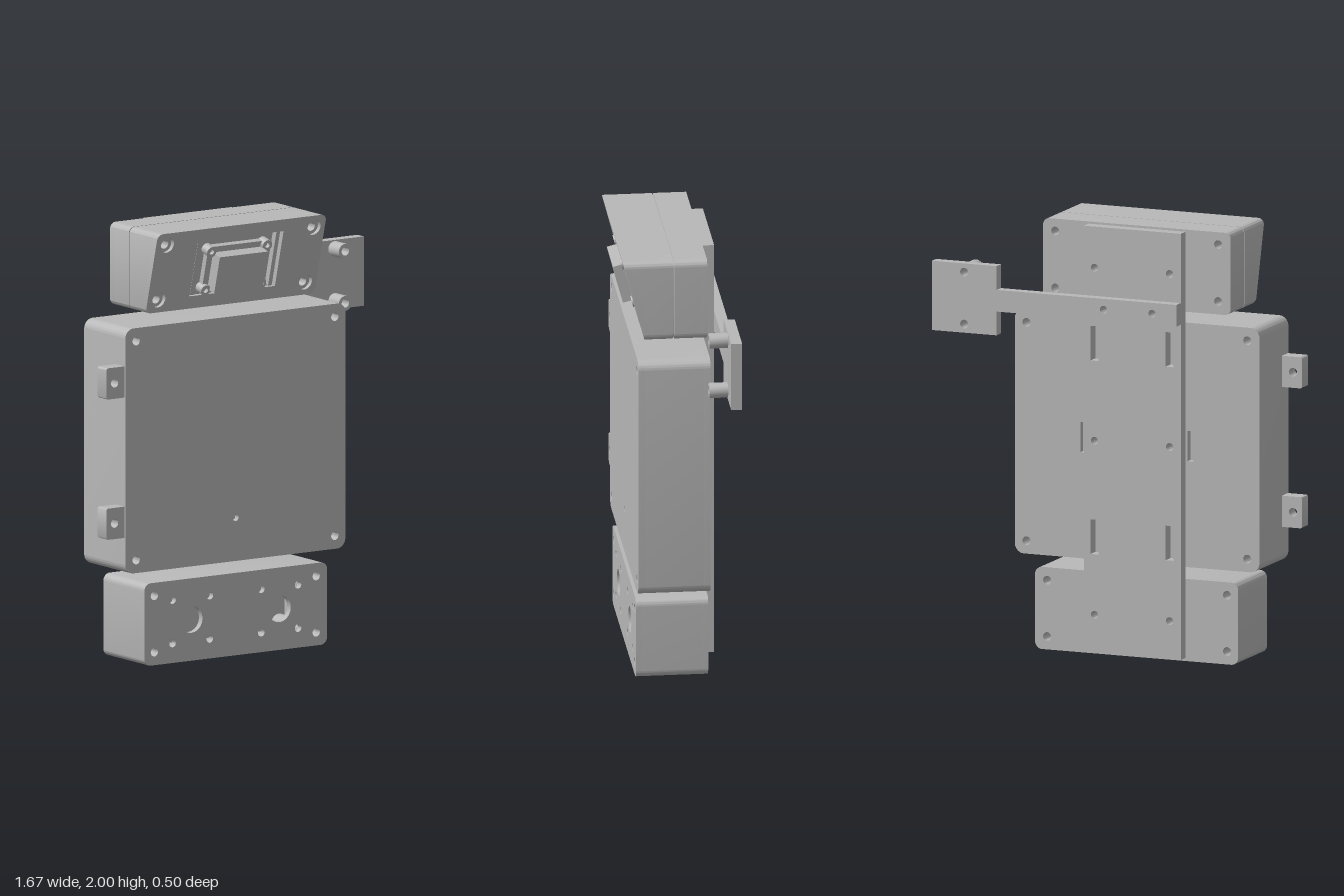
import * as THREE from 'three';
import { toCreasedNormals } from 'three/addons/utils/BufferGeometryUtils.js';

const grey = new THREE.MeshStandardMaterial({ color: 0xb8b8b8 });
grey.name = 'grey plastic';

// Rounded rectangle outline; used for solids and for cut-outs
function rect(x0, x1, y0, y1, r = 0, Type = THREE.Shape) {
  const s = new Type();
  if (r === 0) {
    s.moveTo(x0, y0); s.lineTo(x1, y0); s.lineTo(x1, y1); s.lineTo(x0, y1); s.closePath();
    return s;
  }
  s.moveTo(x0 + r, y0);
  s.lineTo(x1 - r, y0); s.absarc(x1 - r, y0 + r, r, -Math.PI / 2, 0);
  s.lineTo(x1, y1 - r); s.absarc(x1 - r, y1 - r, r, 0, Math.PI / 2);
  s.lineTo(x0 + r, y1); s.absarc(x0 + r, y1 - r, r, Math.PI / 2, Math.PI);
  s.lineTo(x0, y0 + r); s.absarc(x0 + r, y0 + r, r, Math.PI, Math.PI * 1.5);
  return s;
}
const slot = (x0, x1, y0, y1) => rect(x0, x1, y0, y1, 0, THREE.Path);
const round = (x, y, r, Type = THREE.Path) => new Type().absarc(x, y, r, 0, Math.PI * 2);
const grid = (xs, ys) => xs.flatMap((x) => ys.map((y) => [x, y]));

// Slab between two depths; each depth is a number or a function of y
function slab(parent, name, shape, holes, z0, z1) {
  shape.holes.push(...holes);
  const g = new THREE.ExtrudeGeometry(shape, { depth: 1, bevelEnabled: false, curveSegments: 10 });
  const p = g.attributes.position;
  const at = (z, y) => (typeof z === 'function' ? z(y) : z);
  for (let i = 0; i < p.count; i++) {
    const y = p.getY(i);
    p.setZ(i, THREE.MathUtils.lerp(at(z0, y), at(z1, y), p.getZ(i)));
  }
  const mesh = new THREE.Mesh(toCreasedNormals(g, 0.6), grey);
  mesh.name = name;
  parent.add(mesh);
  return mesh;
}

// Hollow wall running round a box outline
function wall(parent, name, [x0, x1, y0, y1, r], z0, z1, inset = 0, t = 0.03) {
  const i = inset, k = inset + t;
  slab(parent, name, rect(x0 + i, x1 - i, y0 + i, y1 - i, r),
    [rect(x0 + k, x1 - k, y0 + k, y1 - k, r * 0.5, THREE.Path)], z0, z1);
}

// Screw posts bored through
function posts(parent, name, points, outer, inner, z0, z1) {
  for (const [x, y] of points) slab(parent, name, round(x, y, outer, THREE.Shape), [round(x, y, inner)], z0, z1);
}

function part(parent, name) {
  const g = new THREE.Group();
  g.name = name;
  parent.add(g);
  return g;
}

export function createModel() {
  const model = new THREE.Group();
  model.name = 'mountedEnclosures';
  const BACK = -0.145, FRONT = 0.185, LID = 0.157;
  const spineScrews = grid([0.052, -0.32], [1.8, 1.0, 0.195]);
  const armScrews = [[-0.255, 1.62], [-0.015, 1.62]];
  const circles = (pts, r) => pts.map(([x, y]) => round(x, y, r));
  const screwsBetween = (y0, y1) => circles(spineScrews.filter(([, y]) => y > y0 && y < y1), 0.018);

  // Back spine with screw holes and strap slots
  const strapSlots = grid([0.052, -0.32], [0.555, 1.45]).map(([x, y]) => slot(x - 0.02, x + 0.02, y - 0.08, y + 0.08));
  slab(model, 'spine', rect(-0.375, 0.105, 0.02, 1.99),
    [...circles([...spineScrews, ...armScrews], 0.018), ...strapSlots], -0.2, BACK);

  // Side arm with end plate and two bored bosses
  const arm = part(model, 'sideArm');
  const bosses = [[0.675, 1.5], [0.675, 1.74]];
  slab(arm, 'armBar', rect(-0.375, 0.515, 1.57, 1.67), circles(armScrews, 0.018), -0.25, -0.2);
  slab(arm, 'armPlate', rect(0.515, 0.835, 1.46, 1.78), circles(bosses, 0.02), -0.25, -0.2);
  posts(arm, 'armBoss', bosses, 0.035, 0.02, -0.2, -0.115);

  // Large middle box
  const main = part(model, 'mainBox');
  const mainSize = [-0.74, 0.47, 0.44, 1.57, 0.045];
  const mainScrews = grid([-0.68, 0.412], [0.5, 1.51]);
  slab(main, 'mainBack', rect(...mainSize),
    [...circles(mainScrews, 0.02), ...screwsBetween(0.5, 1.5), slot(0.115, 0.145, 0.93, 1.07), slot(-0.415, -0.385, 0.93, 1.07)],
    BACK, BACK + 0.03);
  wall(main, 'mainWall', mainSize, BACK + 0.03, LID);
  slab(main, 'mainLid', rect(...mainSize), [...circles(mainScrews, 0.02), round(-0.133, 0.64, 0.016)], LID, FRONT);
  posts(main, 'mainPost', mainScrews, 0.045, 0.02, BACK + 0.03, LID);

  // Mounting tabs on the side of the middle box
  for (const y of [0.68, 1.327]) {
    slab(main, 'sideTab', rect(-0.84, -0.73, y - 0.072, y + 0.072, 0.01), [round(-0.795, y, 0.02)], 0.11, 0.18);
  }

  // Lower box with two large openings, each ringed by four small holes
  const low = part(model, 'lowerBox');
  const lowSize = [-0.635, 0.37, 0.005, 0.385, 0.035];
  const lowScrews = grid([-0.58, 0.31], [0.065, 0.325]);
  slab(low, 'lowerBack', rect(...lowSize), [...circles(lowScrews, 0.02), ...screwsBetween(0, 0.4)], BACK, BACK + 0.03);
  wall(low, 'lowerWall', lowSize, BACK + 0.03, LID);
  slab(low, 'lowerLid', rect(...lowSize), [
    ...circles(lowScrews, 0.02),
    ...circles(grid([-0.48, -0.275, 0.008, 0.21], [0.095, 0.295]), 0.018),
    ...circles([[-0.377, 0.195], [0.108, 0.195]], 0.062)], LID, FRONT);
  posts(low, 'lowerPost', lowScrews, 0.042, 0.02, BACK + 0.03, LID);

  // Upper box with a sloping front and a fine seam round its middle
  const top = part(model, 'upperBox');
  const topSize = [-0.598, 0.33, 1.62, 2.0, 0.03];
  const slope = (offset) => (y) => 0.14 + (y - 1.62) * (0.1 / 0.38) + offset;
  const topScrews = grid([-0.536, 0.27], [1.68, 1.943]);
  slab(top, 'upperBack', rect(...topSize), [...circles(topScrews, 0.02), ...screwsBetween(1.7, 1.9)], BACK, BACK + 0.03);
  wall(top, 'upperRearWall', topSize, BACK + 0.03, 0.006);
  wall(top, 'seamLip', topSize, -0.02, 0.04, 0.006, 0.02);
  wall(top, 'upperFrontWall', topSize, 0.012, slope(-0.03));
  slab(top, 'upperFront', rect(...topSize),
    [...circles(topScrews, 0.036), slot(-0.367, 0.103, 1.68, 1.943)], slope(-0.03), slope(0));
  posts(top, 'upperPost', topScrews, 0.042, 0.02, BACK + 0.03, slope(-0.022));

  // Display module set into the sloping front
  const display = part(top, 'display');
  display.position.set(-0.132, 1.81, 0.19);
  display.rotation.x = Math.atan(0.1 / 0.38);
  const block = (name, w, y0, y1, z0, z1, x = 0) => {
    const m = new THREE.Mesh(new THREE.BoxGeometry(w, y1 - y0, z1 - z0), grey);
    m.position.set(x, (y0 + y1) / 2, (z0 + z1) / 2);
    m.name = name;
    display.add(m);
  };
  block('recessFloor', 0.52, -0.155, 0.155, -0.06, -0.04);
  block('displayBoard', 0.325, -0.125, 0.095, -0.04, -0.012);
  block('screen', 0.265, -0.114, 0.067, -0.012, 0.045);
  for (const s of [-1, 1]) block('recessRail', 0.02, -0.135, 0.137, -0.04, -0.012, s * 0.215);
  posts(display, 'displayScrew', grid([-0.153, 0.153], [-0.112, 0.078]), 0.026, 0.012, -0.04, 0.006);

  return model;
}
